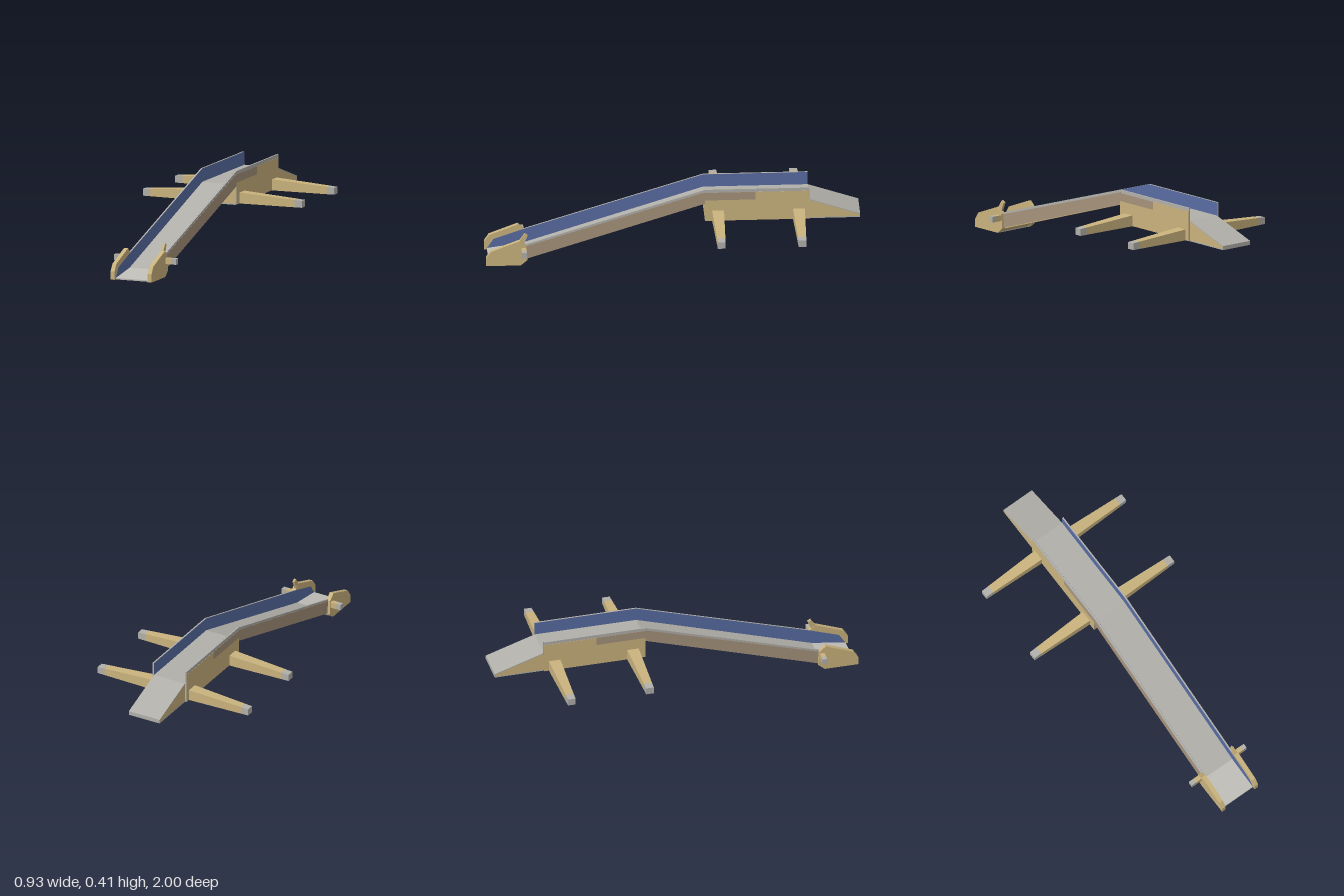
import * as THREE from 'three';

const mat = (name, color) => {
  const m = new THREE.MeshStandardMaterial({ color, flatShading: true });
  m.name = name;
  return m;
};

export function createModel() {
  const grey = mat('steel grey', 0xb1afa9);
  const paleGrey = mat('worn steel grey', 0xc0beb8);
  const tan = mat('tan paint', 0xc9b27d);
  const brown = mat('brown paint', 0xa6927a);
  const blue = mat('blue lining', 0x586ca2);
  const model = new THREE.Group();
  model.name = 'boardingRamp';

  const add = (name, geometry, material) => {
    const mesh = new THREE.Mesh(geometry, material);
    mesh.name = name;
    model.add(mesh);
    return mesh;
  };

  // Side profile of [z, y] points, extruded from x0 to x1
  const plate = (name, points, x0, x1, material) => {
    const shape = new THREE.Shape(points.map(([z, y]) => new THREE.Vector2(-z, y)));
    const g = new THREE.ExtrudeGeometry(shape, { depth: Math.abs(x1 - x0), bevelEnabled: false });
    g.rotateY(Math.PI / 2);
    g.translate(Math.min(x0, x1), 0, 0);
    return add(name, g, material);
  };

  // Thin sheet that follows a line of [z, y] points across the ramp
  const sheet = (name, line, thick, material) =>
    plate(name, [...line, ...line.map(([z, y]) => [z, y - thick]).reverse()], -0.095, 0.095, material);

  // Bar along x, tapered from root to tip; sections are [x, halfDepth, y0, y1]
  const bar = (name, side, z, root, tip, material) => {
    const g = new THREE.BoxGeometry(1, 1, 1);
    const p = g.attributes.position;
    for (let i = 0; i < p.count; i++) {
      const [x, d, low, high] = p.getX(i) * side > 0 ? tip : root;
      p.setXYZ(i, x * side, p.getY(i) > 0 ? high : low, z + Math.sign(p.getZ(i)) * d);
    }
    g.computeVertexNormals();
    return add(name, g, material);
  };

  // Rear platform with its sloping tail
  plate('platformBody', [[-0.17, 0.234], [-0.17, 0.334], [-0.73, 0.334], [-0.995, 0.246], [-0.995, 0.234]],
    -0.095, 0.095, tan);
  sheet('platformBase', [[-0.17, 0.234], [-1, 0.234]], 0.006, grey);
  sheet('platformDeck', [[-0.17, 0.34], [-0.73, 0.34], [-1, 0.25]], 0.006, grey);
  plate('tailLip', [[-0.994, 0.23], [-0.994, 0.248], [-1, 0.248], [-1, 0.23]], -0.095, 0.095, grey);

  // Sloping run: walking surface and painted underside
  sheet('slopeDeck', [[0.8, 0.034], [-0.17, 0.34]], 0.004, grey);
  sheet('slopeUnderside', [[0.79, 0.031], [-0.17, 0.336]], 0.006, tan);

  for (const s of [1, -1]) {
    // Steel side walls
    plate('slopeWall', [[0.8, 0.03], [0.8, 0.112], [-0.17, 0.412], [-0.17, 0.335]], s * 0.096, s * 0.104, grey);
    plate('platformWall', [[-0.17, 0.23], [-0.17, 0.412], [-0.73, 0.412], [-0.73, 0.23]], s * 0.096, s * 0.104, grey);

    // Paint on the outer faces, below a bare steel top edge
    plate('slopeWallPaint', [[0.8, 0.027], [0.8, 0.101], [-0.17, 0.398], [-0.17, 0.331]], s * 0.104, s * 0.105, brown);
    plate('platformWallPaint', [[-0.17, 0.23], [-0.17, 0.35], [-0.44, 0.35], [-0.44, 0.394], [-0.73, 0.394], [-0.73, 0.23]],
      s * 0.104, s * 0.105, tan);
    plate('platformUpperPaint', [[-0.17, 0.35], [-0.17, 0.394], [-0.44, 0.394], [-0.44, 0.35]],
      s * 0.104, s * 0.105, brown);

    // Blue lining on the inner faces, running down into the nose
    plate('slopeWallLining', [[0.985, 0.006], [0.95, 0.06], [0.8, 0.111], [-0.17, 0.411], [-0.17, 0.335], [0.8, 0.03]],
      s * 0.095, s * 0.096, blue);
    plate('platformWallLining', [[-0.17, 0.335], [-0.17, 0.411], [-0.73, 0.411], [-0.73, 0.335]],
      s * 0.095, s * 0.096, blue);

    // Outrigger legs with steel ends
    for (const z of [-0.24, -0.672]) {
      bar('outriggerLeg', s, z, [0.1, 0.032, 0.23, 0.29], [0.42, 0.022, 0.23, 0.27], tan);
      bar('outriggerTip', s, z, [0.42, 0.022, 0.23, 0.27], [0.463, 0.021, 0.23, 0.267], grey);
    }

    // Nose cheeks and side pegs
    plate('noseCheek', [[0.815, 0], [0.78, 0.03], [0.785, 0.11], [0.82, 0.142], [0.975, 0.083], [1, 0.045], [1, 0]],
      s * 0.096, s * 0.119, tan);
    bar('nosePeg', s, 0.8, [0.115, 0.013, 0.07, 0.102], [0.155, 0.013, 0.07, 0.102], tan);
    bar('nosePegTip', s, 0.8, [0.155, 0.013, 0.07, 0.102], [0.181, 0.013, 0.07, 0.102], grey);
  }

  // Nose floor, base and sloping back
  sheet('noseFloor', [[0.985, 0.008], [0.8, 0.034]], 0.004, paleGrey);
  sheet('noseBase', [[0.985, 0.005], [0.815, 0.005]], 0.005, grey);
  plate('noseBack', [[0.82, 0.001], [0.782, 0.028], [0.79, 0.029], [0.83, 0.004]], -0.096, 0.096, tan);

  // Hand lever on the left cheek
  plate('handLever', [[0.825, 0.135], [0.795, 0.18], [0.778, 0.17], [0.8, 0.115]], 0.097, 0.11, tan);

  return model;
}
